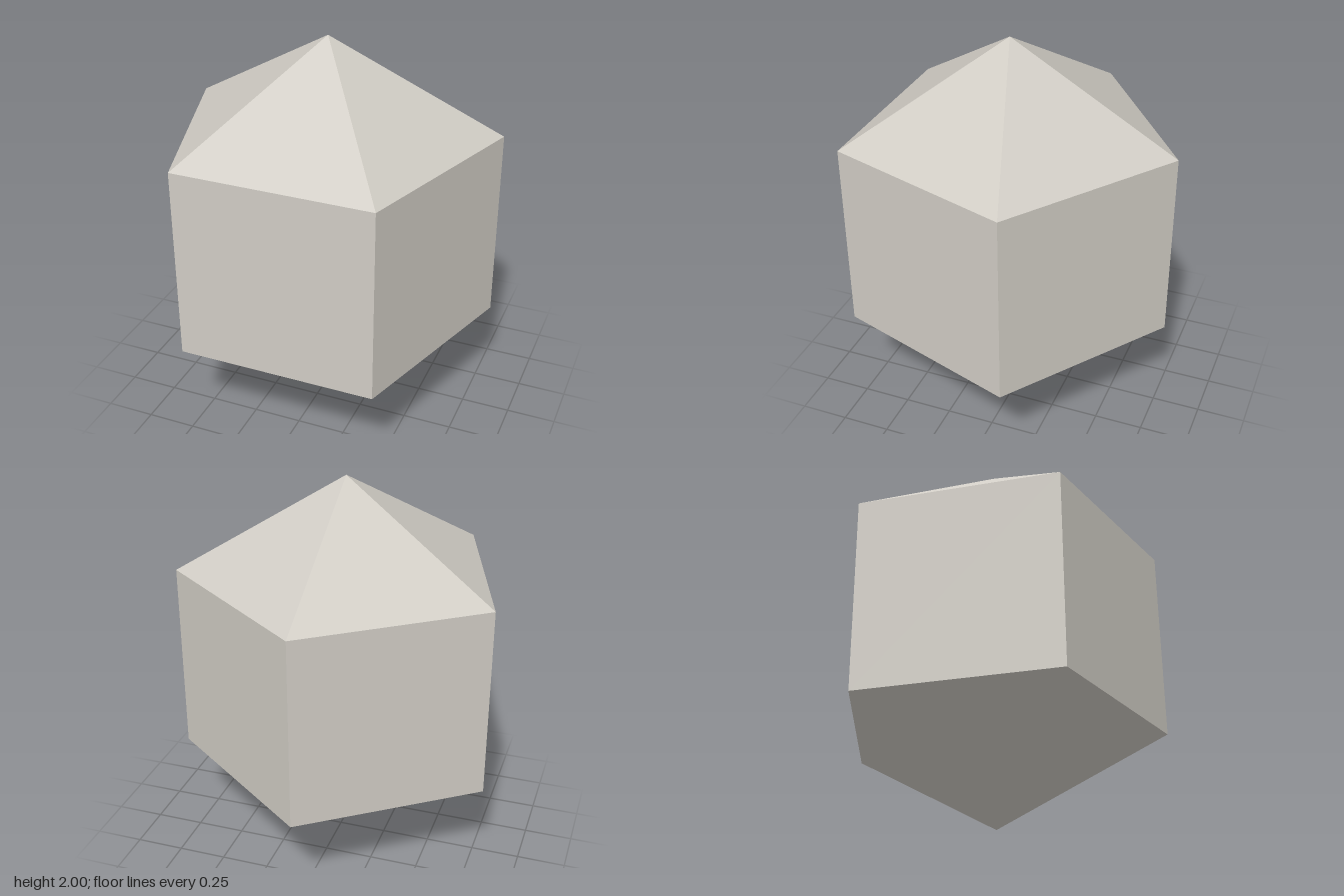
import * as THREE from 'three';

export function createModel() {
  const group = new THREE.Group();
  group.name = 'pentagonalCrystal';

  const stone = new THREE.MeshStandardMaterial({ color: 0xd0ccc4, flatShading: true });
  stone.name = 'pale stone';

  const sides = 5;
  const radius = 0.862;
  // The pentagon's centre sits forward of the middle of its depth
  const centreZ = radius * (1 - Math.cos(Math.PI / sides)) / 2;

  // Five-sided segment with one corner pointing to the back
  function addSegment(name, topRadius, bottomRadius, y0, y1, open) {
    const geometry = new THREE.CylinderGeometry(
      topRadius, bottomRadius, y1 - y0, sides, 1, open, Math.PI);
    const mesh = new THREE.Mesh(geometry, stone);
    mesh.name = name;
    mesh.position.set(0, (y0 + y1) / 2, centreZ);
    group.add(mesh);
  }

  addSegment('lowerPyramid', radius, 0, 0, 0.5, true);
  addSegment('prismBody', radius, radius, 0.5, 1.5, true);
  addSegment('upperPyramid', 0, radius, 1.5, 2, true);

  return group;
}
